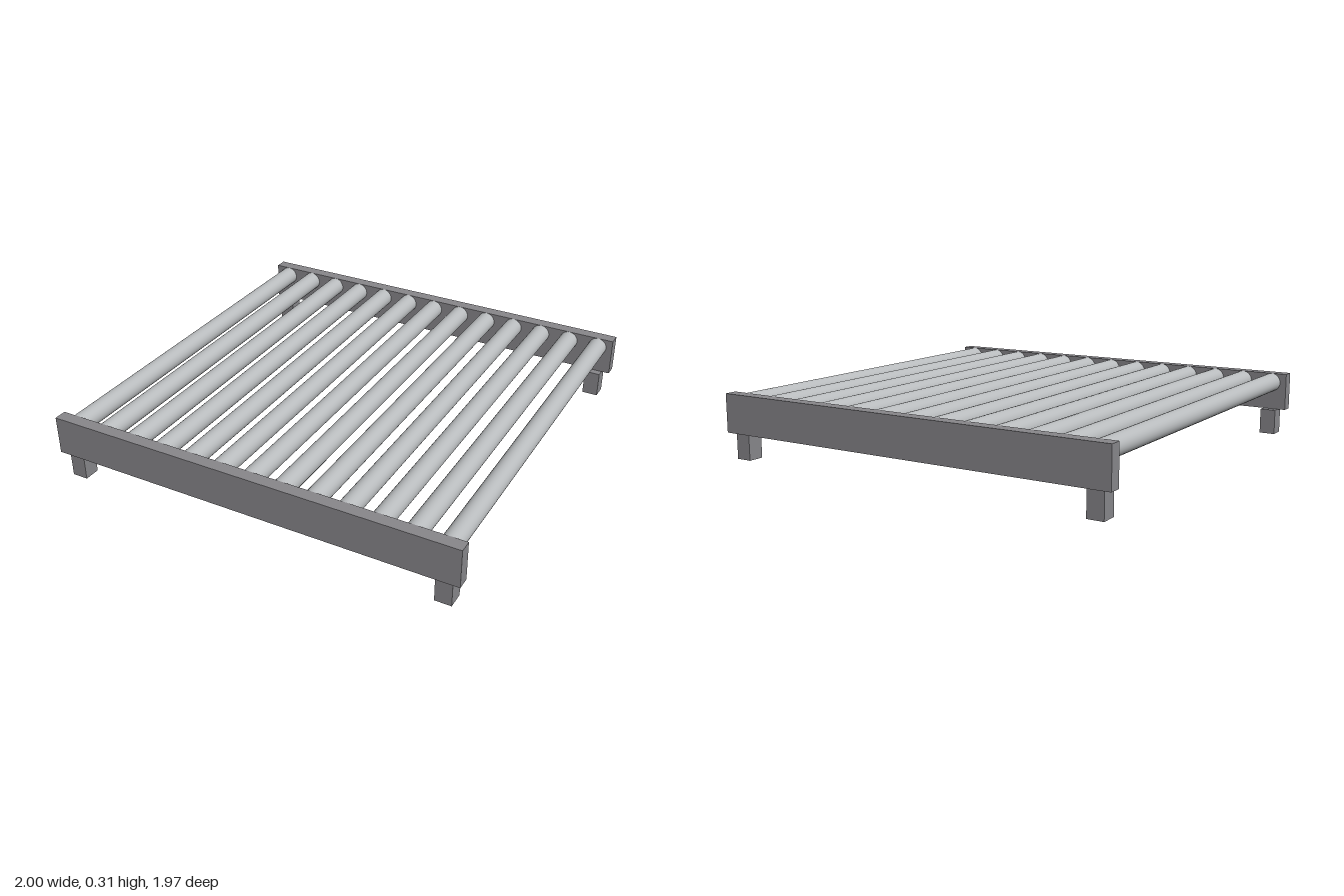
import * as THREE from 'three';

export function createModel() {
  const group = new THREE.Group();
  const frameGrey = new THREE.MeshStandardMaterial({ color: 0x88878b });
  frameGrey.name = 'frame grey';
  const rollerSteel = new THREE.MeshStandardMaterial({ color: 0xb9bcbe });
  rollerSteel.name = 'roller steel';

  const add = (name, geometry, material, x, y, z) => {
    const mesh = new THREE.Mesh(geometry, material);
    mesh.name = name;
    mesh.position.set(x, y, z);
    group.add(mesh);
  };

  // Front and back rails, each on two short legs
  const railGeometry = new THREE.BoxGeometry(2, 0.184, 0.06);
  const legGeometry = new THREE.BoxGeometry(0.077, 0.124, 0.077);
  for (const [end, sz] of [['front', 1], ['back', -1]]) {
    add(end + 'Rail', railGeometry, frameGrey, 0, 0.216, sz * 0.955);
    for (const [side, sx] of [['Left', 1], ['Right', -1]]) {
      add(end + side + 'Leg', legGeometry, frameGrey, sx * 0.923, 0.062, sz * 0.927);
    }
  }

  // Row of rollers spanning between the rails
  const count = 13;
  const rollerGeometry = new THREE.CylinderGeometry(0.046, 0.046, 1.85, 32).rotateX(Math.PI / 2);
  for (let i = 0; i < count; i++) {
    const x = -0.923 + (1.846 * i) / (count - 1);
    add('roller' + (i + 1), rollerGeometry, rollerSteel, x, 0.262, 0);
  }
  return group;
}
